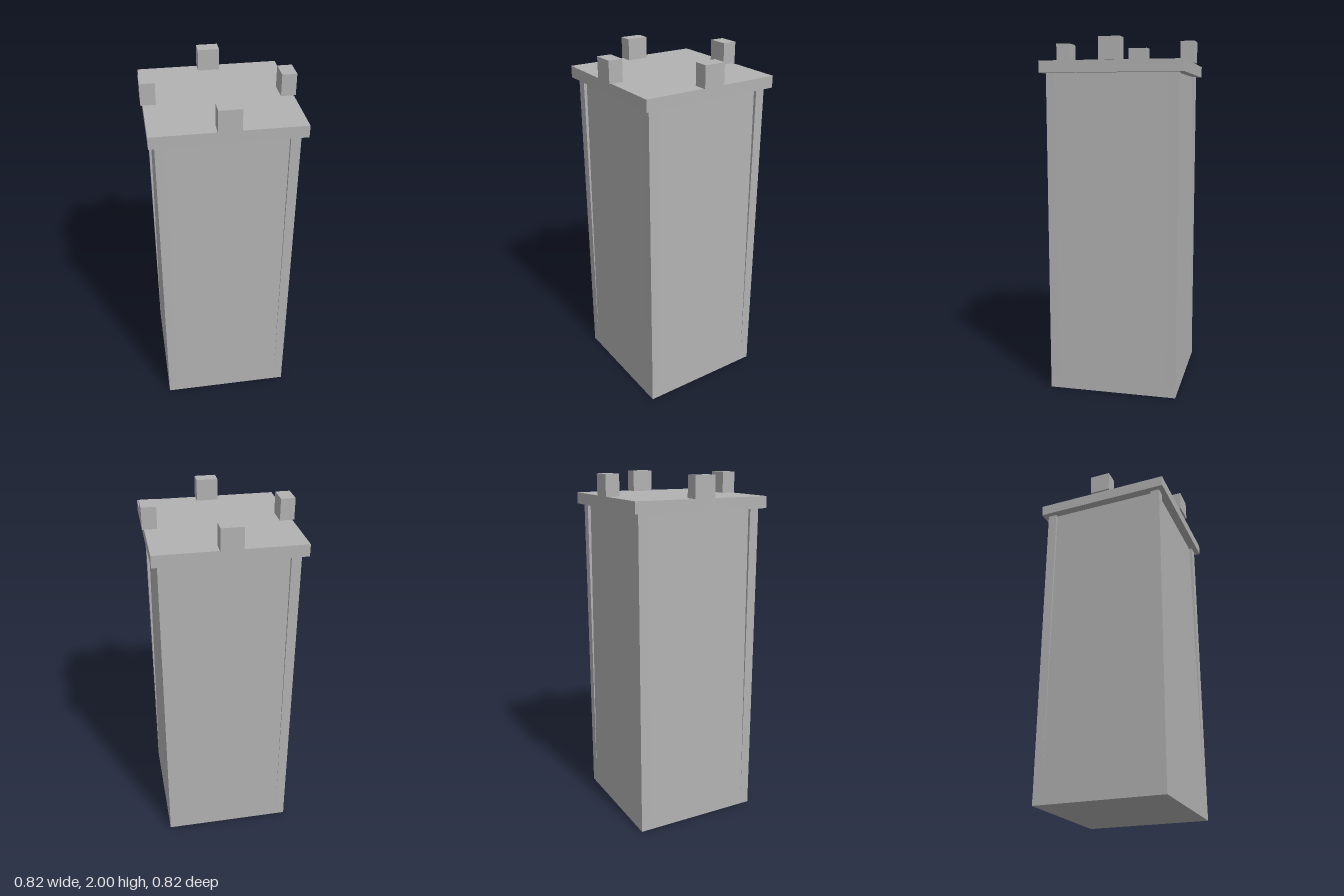
import * as THREE from 'three';

export function createModel() {
  const model = new THREE.Group();
  model.name = 'squareTower';
  const stone = new THREE.MeshStandardMaterial({ color: 0xb2b2b2 });
  stone.name = 'grey stone';

  // Box placed by its centre in x and z and by its bottom and top in y
  function addBox(name, width, depth, bottom, top, x = 0, z = 0) {
    const mesh = new THREE.Mesh(new THREE.BoxGeometry(width, top - bottom, depth), stone);
    mesh.position.set(x, (bottom + top) / 2, z);
    mesh.name = name;
    model.add(mesh);
    return mesh;
  }

  const postTop = 1.815, roofTop = 1.88;
  const postOuter = 0.368, postWidth = 0.053;

  // Core whose walls lean slightly inward towards the top
  const bottomHalf = 0.3687, topHalf = 0.35;
  const core = addBox('taperedCore', 2 * bottomHalf, 2 * bottomHalf, 0, postTop);
  const points = core.geometry.attributes.position;
  const taper = topHalf / bottomHalf;
  for (let i = 0; i < points.count; i++) {
    if (points.getY(i) > 0) {
      points.setX(i, points.getX(i) * taper);
      points.setZ(i, points.getZ(i) * taper);
    }
  }
  core.geometry.computeVertexNormals();

  // Upright corner posts
  const postCentre = postOuter - postWidth / 2;
  for (const sx of [-1, 1]) {
    for (const sz of [-1, 1]) {
      addBox('cornerPost', postWidth, postWidth, 0, postTop, sx * postCentre, sz * postCentre);
    }
  }

  // Overhanging roof slab
  addBox('roofSlab', 0.798, 0.798, postTop, roofTop);

  // One battlement block in the middle of each roof edge
  for (const side of [-1, 1]) {
    addBox('sideBattlement', 0.08, 0.12, roofTop, 2, side * 0.37, 0);
    addBox('endBattlement', 0.12, 0.08, roofTop, 2, 0, side * 0.37);
  }

  return model;
}
